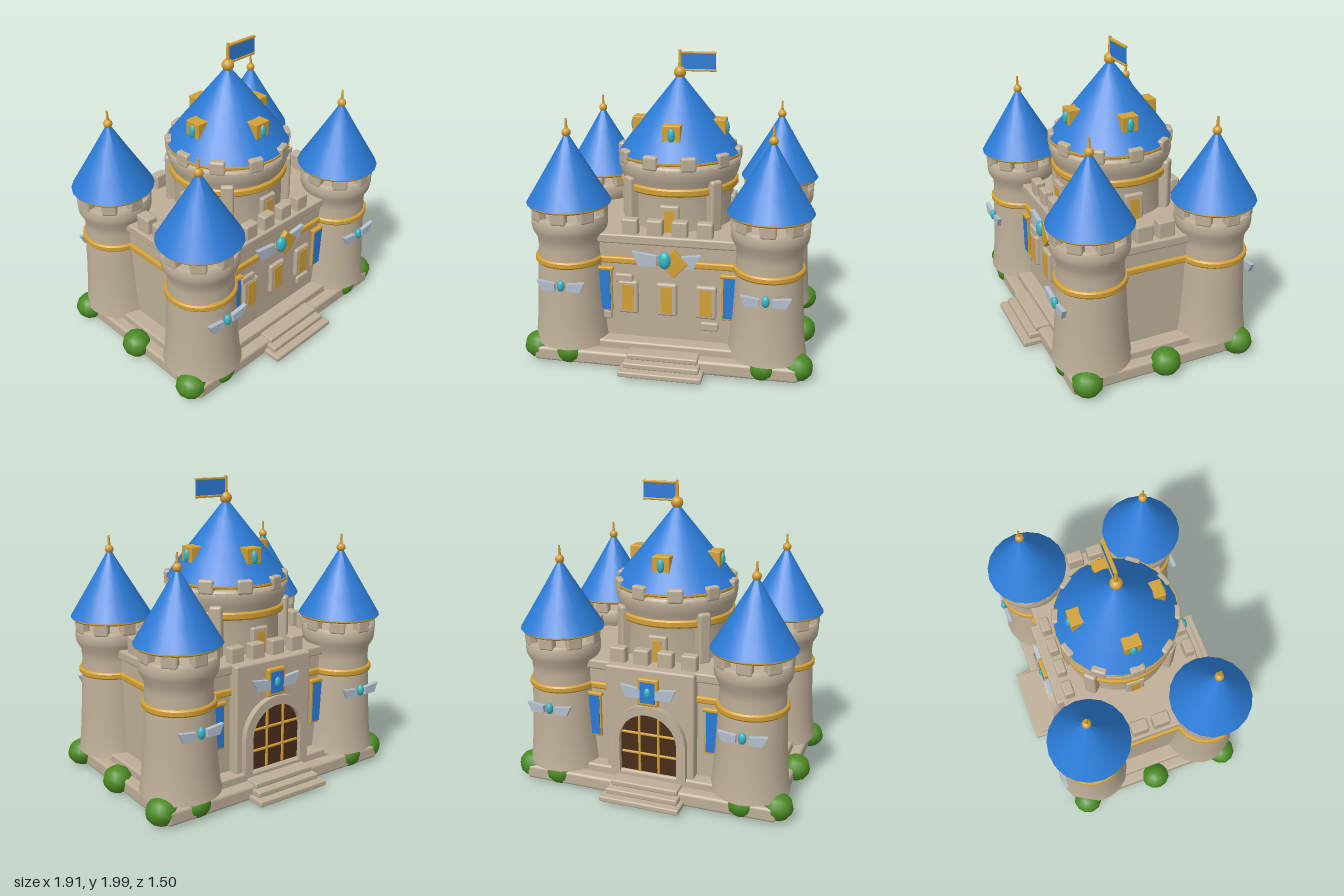
import * as THREE from 'three';
import { toCreasedNormals } from 'three/addons/utils/BufferGeometryUtils.js';
import { RoundedBoxGeometry } from 'three/addons/geometries/RoundedBoxGeometry.js';

const paint = (name, color) => Object.assign(new THREE.MeshStandardMaterial({ color }), { name });

export function createModel() {
  const stone = paint('stone', 0xbdae97), blue = paint('roof blue', 0x2b7bd6), gold = paint('gold', 0xd3a035);
  const teal = paint('teal gem', 0x35b4c4), silver = paint('silver', 0xb3bfcd);
  const green = paint('leaf green', 0x4a8a22), brown = paint('door brown', 0x4a2d18);
  const castle = new THREE.Group();
  castle.name = 'castle';

  const add = (parent, name, geo, mat, x = 0, y = 0, z = 0) => {
    const m = new THREE.Mesh(geo, mat);
    m.name = name;
    m.position.set(x, y, z);
    parent.add(m);
    return m;
  };
  const group = (parent, name, x = 0, y = 0, z = 0, turn = 0) => {
    const g = new THREE.Group();
    g.name = name;
    g.position.set(x, y, z);
    g.rotation.y = turn;
    parent.add(g);
    return g;
  };
  // Box with softened edges, placed by its centre
  const block = (parent, name, mat, w, h, d, x, y, z, r = 0.012) =>
    add(parent, name, new RoundedBoxGeometry(w, h, d, 2, Math.min(r, w / 3, h / 3, d / 3)), mat, x, y, z);
  const lathe = (parent, name, mat, profile, sides = 32) =>
    add(parent, name, toCreasedNormals(
      new THREE.LatheGeometry(profile.map(([r, y]) => new THREE.Vector2(r, y)), sides), 0.6), mat);
  const ball = (parent, name, mat, rx, ry, rz, x, y, z) => {
    const m = add(parent, name, new THREE.SphereGeometry(1, 16, 12), mat, x, y, z);
    m.scale.set(rx, ry, rz);
    return m;
  };
  const extrude = (shape, depth) => new THREE.ExtrudeGeometry(shape, { depth, bevelEnabled: false, curveSegments: 20 });
  const band = (parent, name, r, y0, y1) =>
    lathe(parent, name, gold, [[r - 0.05, y0], [r - 0.008, y0], [r, y0 + 0.01], [r, y1 - 0.01], [r - 0.008, y1], [r - 0.05, y1]]);
  // Ring of stone blocks
  const crown = (parent, count, r, y, w, h, d, offset) => {
    for (let i = 0; i < count; i++) {
      const arm = group(parent, 'merlonArm', 0, y, 0, offset + i * Math.PI * 2 / count);
      block(arm, 'merlon', stone, w, h, d, 0, 0, r, 0.015);
    }
  };
  // Pair of flared silver wings
  const wings = (parent, s) => {
    for (const side of [-1, 1]) {
      const pts = [[0.04, 0.015], [0.04, -0.035], [0.125, -0.035], [0.155, 0.03]];
      const shape = new THREE.Shape(pts.map(([x, y]) => new THREE.Vector2(side * x * s, y * s)));
      add(parent, 'wing', extrude(shape, 0.028), silver);
    }
  };

  // Stepped base
  const base = group(castle, 'base');
  block(base, 'lowerSlab', stone, 1.72, 0.095, 1.26, 0, 0.0775, 0, 0.02);
  block(base, 'upperSlab', stone, 1.58, 0.08, 1.11, 0, 0.14, 0, 0.015);
  for (const s of [-1, 1]) {
    [[0.54, 0.03, 0.75], [0.49, 0.066, 0.7], [0.46, 0.104, 0.65]].forEach(([w, y, z]) =>
      block(base, 'step', stone, w, 0.038, 0.25, 0, y + 0.019, s * (z - 0.125), 0.01));
  }

  // Curtain walls
  const walls = group(castle, 'walls');
  block(walls, 'wallBody', stone, 1.38, 0.68, 0.92, 0, 0.5, 0);
  block(walls, 'wallBand', gold, 1.42, 0.045, 0.96, 0, 0.712, 0);
  block(walls, 'wallCap', stone, 1.42, 0.062, 0.97, 0, 0.86, 0);
  for (const s of [-1, 1]) {
    for (const x of [-0.24, -0.08, 0.08, 0.24])
      block(walls, 'wallMerlon', stone, 0.103, 0.11, 0.068, x, 0.935, s * 0.433);
    for (const z of [-0.075, 0.075])
      block(walls, 'sideMerlon', stone, 0.08, 0.12, 0.115, s * 0.65, 0.94, z);
  }

  // Front windows and loose bricks
  for (const x of [-0.255, 0, 0.255]) {
    const win = group(castle, 'window', x, 0.462, 0.46);
    block(win, 'windowFrame', stone, 0.135, 0.225, 0.05, 0, 0, 0, 0.015);
    add(win, 'windowPane', new THREE.BoxGeometry(0.076, 0.18, 0.008), gold, 0, 0, 0.026);
  }
  for (const [x, y] of [[-0.28, 0.59], [0.278, 0.292], [-0.425, 0.325]])
    block(castle, 'brick', stone, 0.118, 0.06, 0.04, x, y, 0.46);

  // Banners on both long walls
  for (const turn of [0, Math.PI]) for (const s of [-1, 1]) {
    const banner = group(group(castle, 'bannerSide', 0, 0, 0, turn), 'banner', s * 0.41, 0.51, 0.478);
    block(banner, 'bannerTrim', gold, 0.105, 0.31, 0.02, 0, 0, 0, 0.004);
    add(banner, 'bannerCloth', new THREE.BoxGeometry(0.085, 0.28, 0.008), blue, 0, 0, 0.011);
    block(banner, 'bannerRod', gold, 0.13, 0.025, 0.035, 0, 0.147, 0.004);
  }

  // Front crest
  const crest = group(castle, 'frontCrest', 0, 0.745, 0.475);
  wings(crest, 1.42);
  block(crest, 'crestDiamond', gold, 0.135, 0.135, 0.035, 0.05, -0.02, 0.018, 0.006).rotation.z = Math.PI / 4;
  ball(crest, 'crestGem', teal, 0.04, 0.057, 0.03, -0.005, 0, 0.032);

  // Gatehouse at the back
  const gate = group(castle, 'gatehouse', 0, 0, 0, Math.PI);
  block(gate, 'gateBlock', stone, 0.6, 0.72, 0.13, 0, 0.53, 0.465, 0.015);
  const arch = (r, bottom, spring) => {
    const s = new THREE.Shape();
    s.moveTo(-r, bottom);
    s.lineTo(r, bottom);
    s.lineTo(r, spring);
    s.absarc(0, spring, r, 0, Math.PI, false);
    s.closePath();
    return s;
  };
  const frame = arch(0.255, 0.17, 0.4);
  frame.holes.push(arch(0.195, 0.171, 0.4));
  add(gate, 'gateFrame', toCreasedNormals(extrude(frame, 0.05), 0.6), stone, 0, 0, 0.52);
  add(gate, 'door', toCreasedNormals(extrude(arch(0.2, 0.17, 0.4), 0.012), 0.6), brown, 0, 0, 0.525);
  for (const x of [-0.065, 0.065]) block(gate, 'doorBar', gold, 0.016, 0.4, 0.016, x, 0.38, 0.54);
  for (const y of [0.31, 0.45]) block(gate, 'doorRail', gold, 0.375, 0.016, 0.016, 0, y, 0.54);
  const badge = group(gate, 'badge', 0, 0.745, 0.53);
  wings(badge, 1.2);
  block(badge, 'badgeFrame', gold, 0.14, 0.185, 0.035, 0, 0, 0.01);
  add(badge, 'badgeField', new THREE.BoxGeometry(0.1, 0.14, 0.008), blue, 0, 0, 0.028);
  ball(badge, 'badgeGem', teal, 0.022, 0.034, 0.014, 0, 0, 0.032);

  // Corner towers
  for (const x of [-0.645, 0.645]) for (const z of [-0.42, 0.42]) {
    const tower = group(castle, 'tower', x, 0, z);
    lathe(tower, 'towerBody', stone, [[0, 0.145], [0.257, 0.145], [0.247, 0.2], [0.235, 0.32], [0.225, 0.48], [0.215, 0.7],
      [0.207, 0.8], [0.212, 0.86], [0.24, 0.91], [0.245, 0.94], [0.245, 0.985], [0.235, 1.005], [0, 1.005]]);
    band(tower, 'towerBand', 0.23, 0.69, 0.735);
    crown(tower, 8, 0.216, 1.027, 0.1, 0.085, 0.06, 0);
    lathe(tower, 'roofRim', gold, [[0, 1.062], [0.258, 1.062], [0.264, 1.07], [0.264, 1.084], [0, 1.084]], 20);
    lathe(tower, 'towerRoof', blue, [[0, 1.08], [0.272, 1.08], [0.19, 1.215], [0.1, 1.365], [0.018, 1.505], [0, 1.505]], 20);
    ball(tower, 'finialBall', gold, 0.029, 0.029, 0.029, 0, 1.525, 0);
    add(tower, 'finialSpike', new THREE.CylinderGeometry(0.006, 0.011, 0.08, 10), gold, 0, 1.575, 0);
    const emblem = group(tower, 'towerEmblem', 0, 0.585, z > 0 ? 0.218 : -0.218, z > 0 ? 0 : Math.PI);
    wings(emblem, 1);
    ball(emblem, 'emblemGem', teal, 0.025, 0.038, 0.022, 0, 0, 0.018);
  }

  // Round keep
  const keep = group(castle, 'keep');
  lathe(keep, 'keepBody', stone, [[0, 0.87], [0.365, 0.87], [0.36, 1.1], [0.37, 1.16], [0.39, 1.21], [0.405, 1.26],
    [0.405, 1.3], [0.395, 1.315], [0, 1.315]], 40);
  band(keep, 'keepBand', 0.395, 1.125, 1.175);
  crown(keep, 10, 0.385, 1.338, 0.1, 0.092, 0.055, Math.PI / 10);
  lathe(keep, 'keepRim', gold, [[0, 1.328], [0.404, 1.328], [0.41, 1.335], [0.41, 1.348], [0, 1.348]], 24);
  lathe(keep, 'keepRoof', blue, [[0, 1.346], [0.405, 1.346], [0.3, 1.485], [0.2, 1.61], [0.1, 1.735], [0.02, 1.835], [0, 1.835]], 24);
  for (let i = 0; i < 4; i++) {
    const side = group(keep, 'keepSide', 0, 0, 0, i * Math.PI / 2);
    // Window, dormer and diagonal buttress
    block(side, 'keepWindowFrame', stone, 0.127, 0.19, 0.05, 0, 0.97, 0.36);
    add(side, 'keepWindowPane', new THREE.BoxGeometry(0.064, 0.15, 0.008), gold, 0, 0.96, 0.386);
    block(side, 'dormer', gold, 0.115, 0.105, 0.11, 0, 1.513, 0.255, 0.006);
    ball(side, 'dormerGem', teal, 0.024, 0.046, 0.02, 0, 1.505, 0.31);
    const corner = group(side, 'keepCorner', 0, 0, 0, Math.PI / 4);
    block(corner, 'buttress', stone, 0.085, 0.34, 0.09, 0, 1.05, 0.375, 0.018);
  }

  // Flag
  const flag = group(castle, 'flag');
  ball(flag, 'flagBall', gold, 0.04, 0.04, 0.04, 0, 1.857, 0);
  add(flag, 'flagPole', new THREE.CylinderGeometry(0.009, 0.014, 0.13, 12), gold, 0, 1.935, 0);
  block(flag, 'flagCloth', blue, 0.225, 0.105, 0.012, 0.12, 1.928, 0, 0.003);
  for (const y of [1.872, 1.983]) block(flag, 'flagTrim', gold, 0.228, 0.015, 0.024, 0.122, y, 0, 0.005);

  // Bushes around the base
  for (const x of [-1, 1]) {
    const spots = [[0.86, 0, 0.095, 0.1]];
    for (const z of [-1, 1]) spots.push([0.85, z * 0.535, 0.102, 0.1], [0.63, z * 0.57, 0.1, 0.09]);
    for (const [bx, bz, rx, rz] of spots) {
      const bush = add(castle, 'bush', new THREE.SphereGeometry(1, 11, 8), green, x * bx, 0.1, bz);
      bush.scale.set(rx, 0.09, rz);
    }
  }
  return castle;
}
